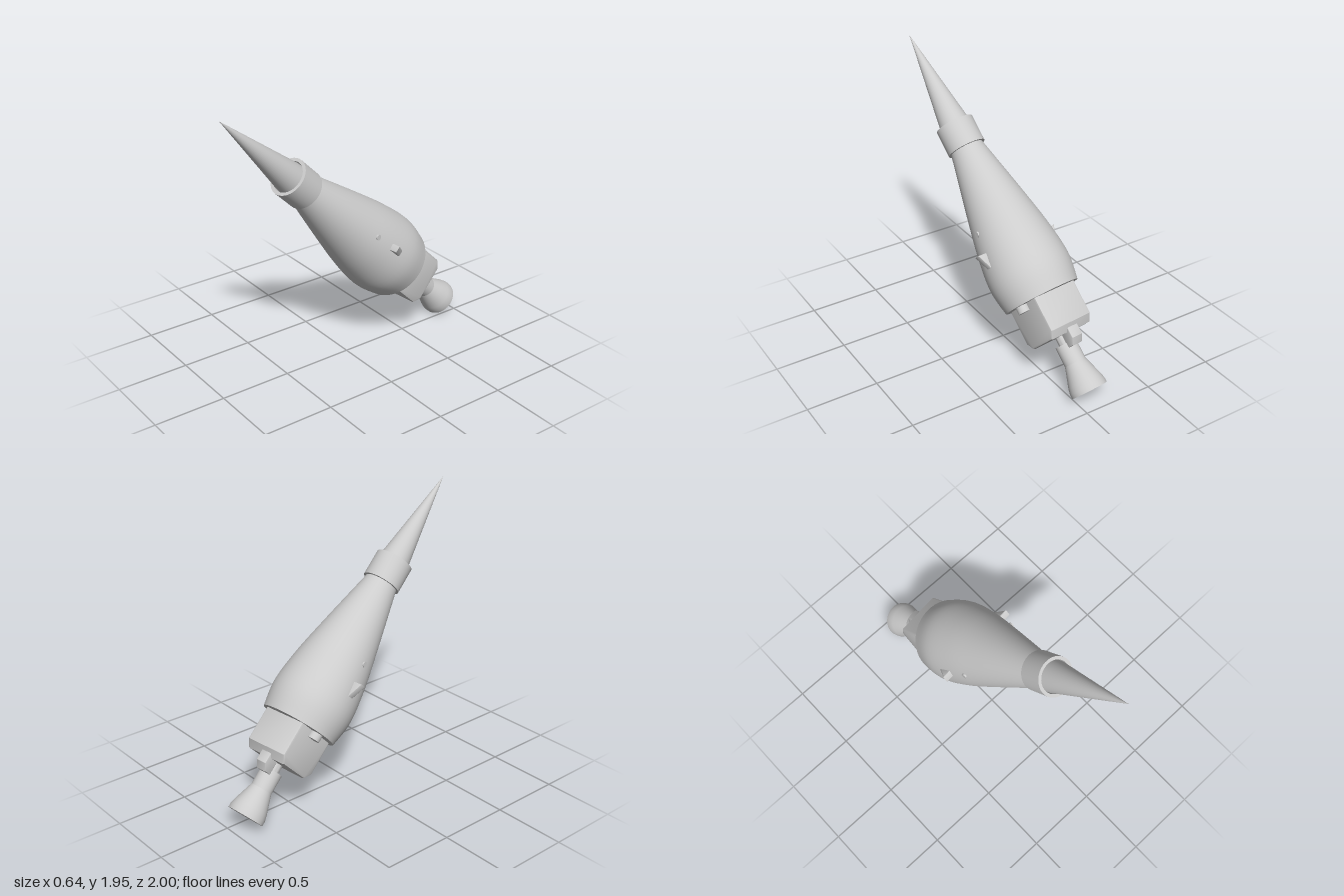
import * as THREE from 'three';
import { toCreasedNormals } from 'three/addons/utils/BufferGeometryUtils.js';

const grey = new THREE.MeshStandardMaterial({ color: 0xcccccc });
grey.name = 'light grey';

const points = (list) => list.map(([a, b]) => new THREE.Vector2(a, b));

export function createModel() {
  const model = new THREE.Group();

  // All parts are built along local z, from the nozzle mouth (z = 0) to the tip
  const craft = new THREE.Group();
  craft.name = 'tiltedCraft';
  craft.position.set(-0.08, 0.09, -0.91);
  craft.rotation.set(-0.769, 0.1045, 0, 'YXZ');
  model.add(craft);

  function add(name, geometry, crease = 0.6) {
    const mesh = new THREE.Mesh(toCreasedNormals(geometry, crease), grey);
    mesh.name = name;
    craft.add(mesh);
    return mesh;
  }

  // Turned part from [radius, distance along the axis] pairs
  function turned(name, profile, segments = 40) {
    const geometry = new THREE.LatheGeometry(points(profile), segments);
    return add(name, geometry.rotateX(Math.PI / 2));
  }

  // Plate of a given thickness with softened edges, centred on its depth
  function plate(profile, thickness, bevel) {
    const geometry = new THREE.ExtrudeGeometry(new THREE.Shape(points(profile)), {
      depth: thickness - 2 * bevel, bevelEnabled: true, bevelSize: bevel,
      bevelThickness: bevel, bevelOffset: -bevel, bevelSegments: 2,
    });
    return geometry.translate(0, 0, bevel - thickness / 2);
  }

  // Main body, widest near its rear
  const outline = new THREE.SplineCurve(points([
    [0.262, 0.68], [0.287, 0.86], [0.262, 1.09], [0.211, 1.35], [0.128, 1.73], [0.108, 1.82],
  ])).getPoints(24).map((p) => [p.x, p.y]);
  turned('body', [[0, 0.68], ...outline, [0, 1.82]], 48);

  // Nose collar and long spike
  turned('noseCollar', [
    [0.1, 1.79], [0.132, 1.79], [0.132, 1.975], [0.11, 1.975], [0.11, 1.82],
  ]);
  turned('noseSpike', [[0, 1.88], [0.108, 1.88], [0.104, 1.975], [0, 2.672]]);

  // Chamfered engine block
  const block = plate([
    [0.395, -0.12], [0.445, -0.172], [0.72, -0.172],
    [0.72, 0.176], [0.445, 0.176], [0.395, 0.13],
  ], 0.335, 0.014);
  add('engineBlock', block.rotateY(-Math.PI / 2), 0.5);

  // Neck, coupling and flared nozzle
  turned('neck', [[0, 0.32], [0.046, 0.32], [0.046, 0.42], [0, 0.42]], 28);
  turned('coupling', [[0, 0.2], [0.074, 0.2], [0.074, 0.338], [0, 0.338]], 32);
  turned('nozzle', [
    [0, 0], [0.126, 0], [0.126, 0.03], [0.117, 0.07], [0.094, 0.14], [0.07, 0.215], [0, 0.215],
  ]);

  // Small bracket above the neck
  const bracket = plate([
    [0.303, 0.055], [0.42, 0.055], [0.42, 0.155], [0.348, 0.155], [0.303, 0.112],
  ], 0.085, 0.008);
  add('bracket', bracket.rotateY(-Math.PI / 2), 0.5).position.x = -0.008;

  for (const side of [1, -1]) {
    const label = side > 0 ? 'left' : 'right';

    // Swept side fin, blunt at the front
    const fin = plate([
      [side * 0.2, 0.95], [side * 0.262, 0.95], [side * 0.322, 1.085], [side * 0.2, 1.085],
    ], 0.05, 0.008);
    add(label + 'Fin', fin.rotateX(Math.PI / 2), 0.5).position.y = 0.02;

    // Short thruster beside the engine block
    const thruster = new THREE.CylinderGeometry(0.042, 0.042, 0.1, 24).rotateX(Math.PI / 2);
    add(label + 'Thruster', thruster).position.set(side * 0.185, 0.022, 0.682);

    // Little stud on the flank
    const stud = new THREE.CylinderGeometry(0.019, 0.019, 0.04, 16).rotateZ(Math.PI / 2);
    add(label + 'Stud', stud).position.set(side * 0.225, 0.017, 1.22);
  }

  return model;
}
